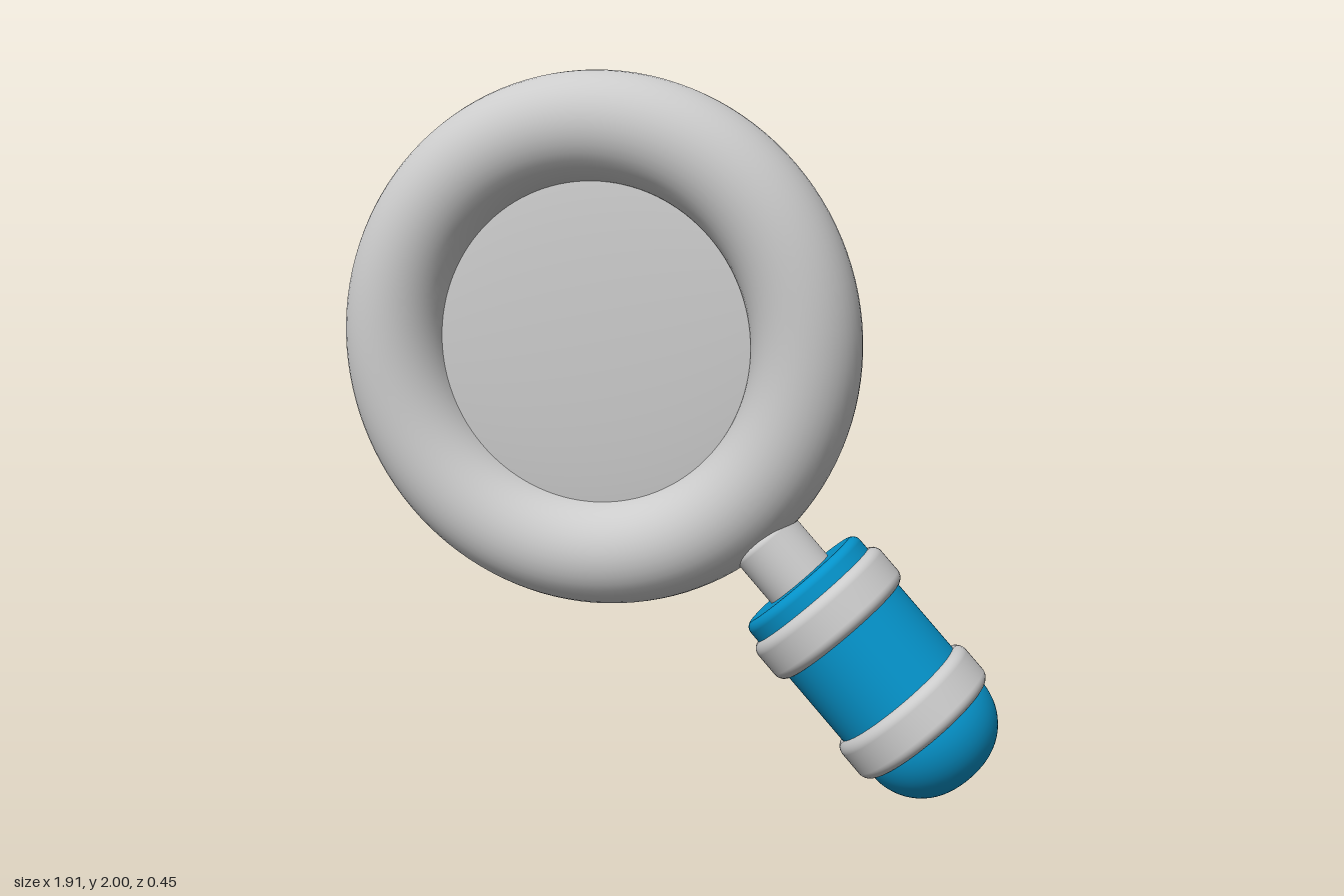
import * as THREE from 'three';

const grey = new THREE.MeshStandardMaterial({ color: 0xcccccc });
const blue = new THREE.MeshStandardMaterial({ color: 0x0593ca });

// Adds a rounded corner to a profile, swept from angle a0 to a1
function corner(points, cx, cy, r, a0, a1, steps) {
  for (let i = 0; i <= steps; i++) {
    const a = a0 + ((a1 - a0) * i) / steps;
    points.push(new THREE.Vector2(cx + r * Math.cos(a), cy + r * Math.sin(a)));
  }
}

// Solid of revolution from y0 up to y1 with separately rounded bottom and top rims
function roundedCylinder(name, radius, y0, y1, bottom, top, material) {
  const pts = [new THREE.Vector2(0, y0)];
  corner(pts, radius - bottom, y0 + bottom, bottom, -Math.PI / 2, 0, 16);
  corner(pts, radius - top, y1 - top, top, 0, Math.PI / 2, 8);
  pts.push(new THREE.Vector2(0, y1));
  const mesh = new THREE.Mesh(new THREE.LatheGeometry(pts, 64), material);
  mesh.name = name;
  return mesh;
}

export function createModel() {
  const model = new THREE.Group();
  model.name = 'magnifyingGlass';
  const centre = new THREE.Vector3(-0.199, 1.245, 0);

  // Ring and lens, leaning very slightly
  const head = new THREE.Group();
  head.name = 'head';
  head.position.copy(centre);
  head.rotation.set(-0.01, 0.016, 0);
  const frame = new THREE.Mesh(new THREE.TorusGeometry(0.602, 0.154, 40, 120), grey);
  frame.name = 'frame';
  head.add(frame);

  // Biconvex lens: a flattened ball whose rim is buried in the frame
  const lensShape = new THREE.SphereGeometry(0.6, 64, 48);
  lensShape.rotateX(Math.PI / 2);
  lensShape.scale(1, 1, 0.1);
  const lens = new THREE.Mesh(lensShape, grey);
  lens.name = 'lens';
  head.add(lens);
  model.add(head);

  // Handle parts run down the local -y axis from the ring centre
  const handle = new THREE.Group();
  handle.name = 'handle';
  handle.position.copy(centre);
  handle.rotation.z = 0.742;
  handle.add(
    roundedCylinder('neck', 0.104, -0.95, -0.718, 0.01, 0.02, grey),
    roundedCylinder('grip', 0.201, -1.595, -0.878, 0.17, 0.025, blue),
    roundedCylinder('upperBand', 0.226, -1.065, -0.935, 0.03, 0.03, grey),
    roundedCylinder('lowerBand', 0.226, -1.425, -1.295, 0.03, 0.03, grey)
  );
  model.add(handle);
  return model;
}
